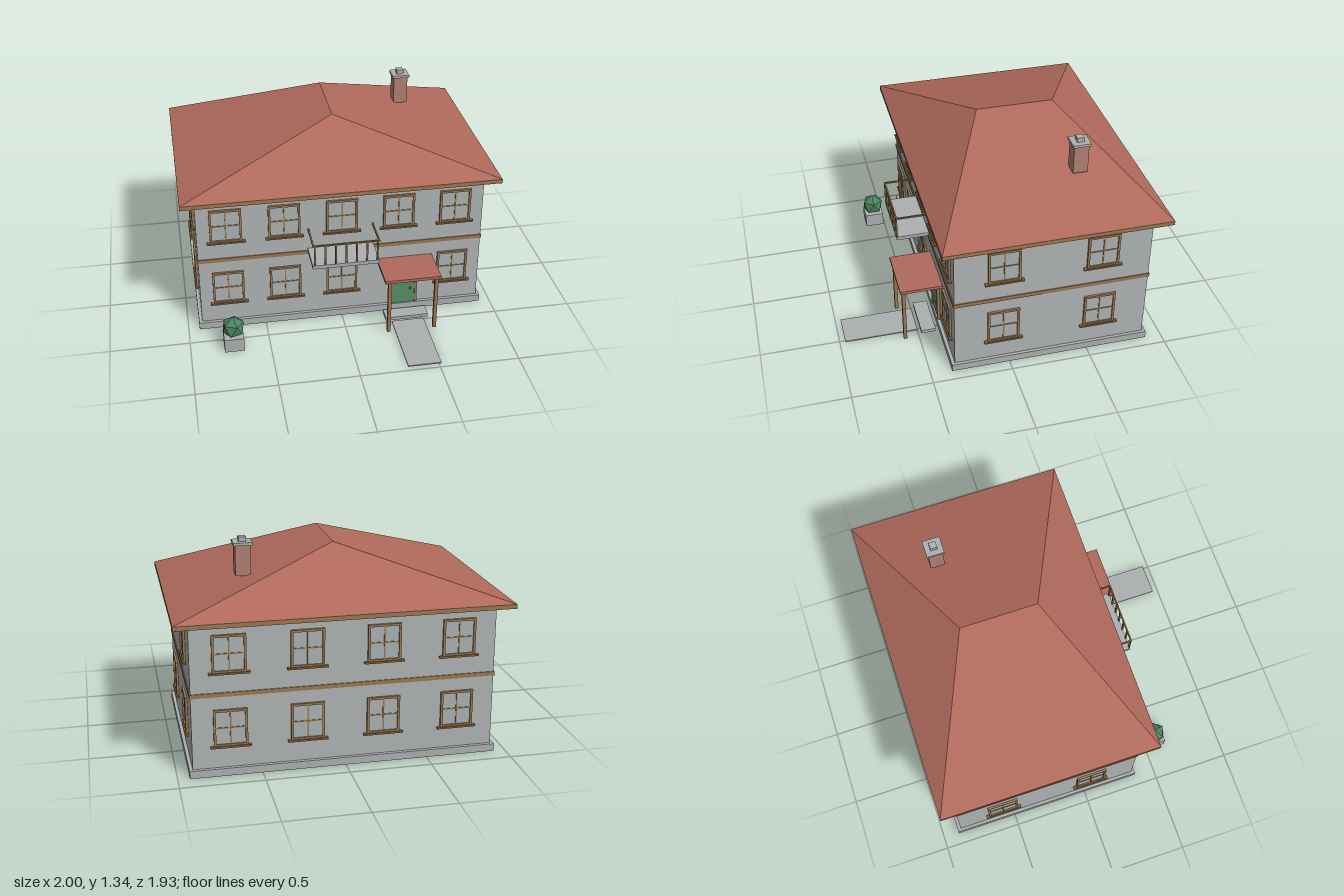
import * as THREE from 'three';

const mat = (name, color) => Object.assign(new THREE.MeshStandardMaterial({ color }), { name });

export function createModel() {
  const house = new THREE.Group();
  house.name = 'house';

  const wall = mat('wall grey', 0xb0b4b4);
  const stone = mat('stone grey', 0xacb0b0);
  const glass = mat('window glass', 0xacb2b4);
  const wood = mat('wood trim', 0x9c7850);
  const darkWood = mat('dark wood', 0x86643f);
  const tile = mat('roof tile', 0xb06a5c);
  const brick = mat('chimney brick', 0xb08072);
  const green = mat('door green', 0x538f66);
  const leaf = mat('foliage green', 0x4c8560);
  const metal = mat('knob metal', 0x5a5a50);

  const add = (parent, name, geometry, material) => {
    const m = new THREE.Mesh(geometry, material);
    m.name = name;
    parent.add(m);
    return m;
  };
  // box given by its extents on each axis
  const box = (parent, name, material, [x0, x1], [y0, y1], [z0, z1]) => {
    const m = add(parent, name, new THREE.BoxGeometry(x1 - x0, y1 - y0, z1 - z0), material);
    m.position.set((x0 + x1) / 2, (y0 + y1) / 2, (z0 + z1) / 2);
    return m;
  };

  // main body
  const W = 0.91, ZF = 0.345, ZB = -0.875, ZC = (ZF + ZB) / 2;
  box(house, 'plinth', stone, [-0.93, 0.93], [0, 0.047], [-0.897, 0.366]);
  box(house, 'walls', wall, [-W, W], [0.047, 0.93], [ZB, ZF]);
  box(house, 'floorBand', wood, [-0.916, 0.916], [0.49, 0.515], [ZB - 0.006, ZF + 0.006]);
  box(house, 'eaves', wood, [-1, 1], [0.93, 0.957], [-0.965, 0.43]);

  // hipped roof with the ridge running front to back
  const a = [-1, 0.957, 0.43], b = [1, 0.957, 0.43], c = [1, 0.957, -0.965], d = [-1, 0.957, -0.965];
  const rf = [0, 1.275, -0.02], rb = [0, 1.275, -0.512];
  const roofGeo = new THREE.BufferGeometry();
  roofGeo.setAttribute('position', new THREE.Float32BufferAttribute(
    [a, b, rf, b, c, rb, b, rb, rf, c, d, rb, d, a, rf, d, rf, rb].flat(), 3));
  roofGeo.computeVertexNormals();
  add(house, 'roof', roofGeo, tile);

  // chimney
  const chimney = new THREE.Group();
  chimney.name = 'chimney';
  chimney.position.set(0.545, 0, -0.511);
  house.add(chimney);
  [['stack', brick, 0.046, 1.107, 1.29], ['cap', stone, 0.056, 1.29, 1.307], ['pot', stone, 0.022, 1.307, 1.335]]
    .forEach(([n, m, r, y0, y1]) => box(chimney, n, m, [-r, r], [y0, y1], [-r, r]));

  // windows: base at local y = 0, facing local +z
  const addWindow = (x, y, z, turn) => {
    const g = new THREE.Group();
    g.name = 'window';
    g.position.set(x, y, z);
    g.rotation.y = turn;
    house.add(g);
    const w = 0.1, h = 0.228, t = 0.014;
    box(g, 'pane', glass, [-w + t, w - t], [0, h - t], [0, 0.005]);
    for (const s of [-1, 1]) {
      const e = [s * w, s * (w - t)].sort((p, q) => p - q);
      box(g, 'frameSide', wood, e, [0, h], [0, 0.014]);
    }
    box(g, 'frameTop', wood, [-w + t, w - t], [h - t, h], [0, 0.014]);
    box(g, 'frameBottom', wood, [-w + t, w - t], [0, t], [0, 0.014]);
    box(g, 'mullion', wood, [-0.004, 0.004], [t, h - t], [0, 0.01]);
    box(g, 'crossbar', wood, [-w + t, w - t], [h / 2 - 0.004, h / 2 + 0.004], [0, 0.009]);
    box(g, 'sill', darkWood, [-0.12, 0.12], [-0.008, 0.003], [0, 0.022]);
  };
  [0.183, 0.636].forEach((y, floor) => {
    for (let i = -2; i <= 2; i++) {
      if (floor === 0 && i === 1) continue; // the front door takes this bay
      addWindow(i * 0.364, y, ZF, 0);
    }
    for (const x of [-0.683, -0.228, 0.228, 0.683]) addWindow(x, y, ZB, Math.PI);
    for (const s of [-1, 1])
      for (const dz of [-0.305, 0.305]) addWindow(s * W, y, ZC + dz, s * Math.PI / 2);
  });

  // front door
  const door = new THREE.Group();
  door.name = 'frontDoor';
  door.position.set(0.41, 0, ZF);
  house.add(door);
  box(door, 'doorLeaf', green, [-0.075, 0.075], [0.047, 0.32], [0, 0.012]);
  for (const s of [-1, 1]) box(door, 'jamb', wood, [s * 0.082 - 0.008, s * 0.082 + 0.008], [0.047, 0.335], [0, 0.018]);
  box(door, 'lintel', wood, [-0.074, 0.074], [0.319, 0.335], [0, 0.018]);
  add(door, 'knob', new THREE.SphereGeometry(0.007, 10, 8), metal).position.set(0.045, 0.157, 0.016);

  // porch, step and path
  box(house, 'porchRoof', tile, [0.23, 0.59], [0.38, 0.4], [ZF, 0.611]);
  for (const s of [-1, 1]) {
    const x = 0.414 + s * 0.15;
    box(house, 'porchPost', wood, [x - 0.011, x + 0.011], [0, 0.38], [0.577, 0.599]);
  }
  box(house, 'step', stone, [0.27, 0.55], [0, 0.022], [0.387, 0.48]);
  box(house, 'path', stone, [0.305, 0.515], [0, 0.008], [0.5, 0.965]);

  // balcony
  const balcony = new THREE.Group();
  balcony.name = 'balcony';
  balcony.position.x = -0.008;
  house.add(balcony);
  box(balcony, 'slab', stone, [-0.21, 0.21], [0.505, 0.529], [ZF, 0.553]);
  box(balcony, 'frontRail', darkWood, [-0.21, 0.21], [0.665, 0.675], [0.545, 0.555]);
  for (const s of [-1, 1])
    box(balcony, 'sideRail', darkWood, [s * 0.205 - 0.005, s * 0.205 + 0.005], [0.665, 0.675], [ZF, 0.545]);
  for (let i = -3; i <= 3; i++)
    box(balcony, 'baluster', darkWood, [i * 0.0655 - 0.005, i * 0.0655 + 0.005], [0.529, 0.665], [0.545, 0.555]);

  // planter with a faceted bush standing on one vertex
  box(house, 'planter', stone, [-0.79, -0.666], [0, 0.092], [0.509, 0.633]);
  const bushGeo = new THREE.IcosahedronGeometry(0.075, 0);
  bushGeo.rotateZ(-Math.atan(2 / (1 + Math.sqrt(5))));
  add(house, 'bush', bushGeo, leaf).position.set(-0.728, 0.147, 0.571);

  return house;
}
